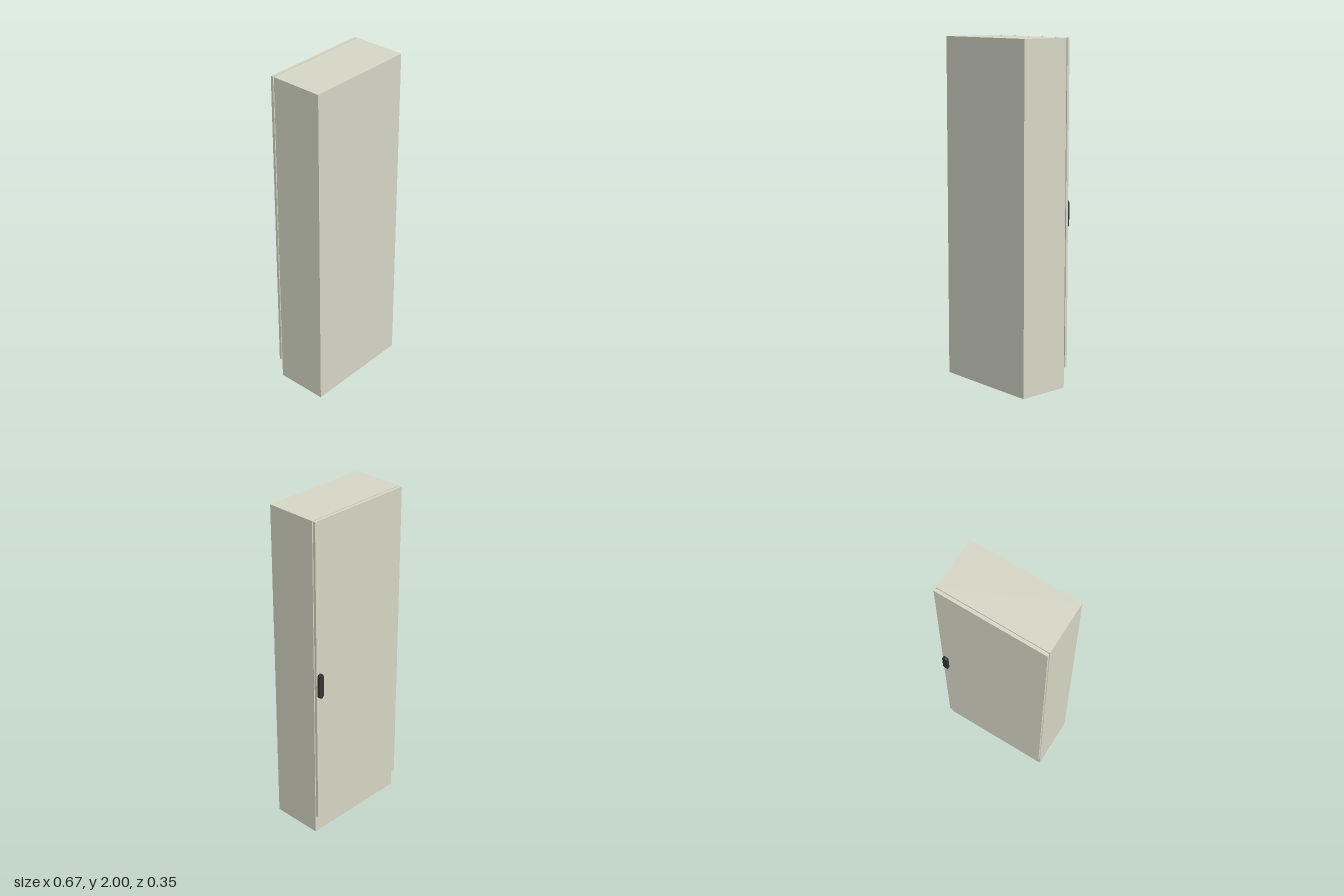
import * as THREE from 'three';

export function createModel() {
  const cabinet = new THREE.Group();
  cabinet.name = 'cabinet';
  const paint = new THREE.MeshStandardMaterial({ color: 0xd5d6c4 });
  const dark = new THREE.MeshStandardMaterial({ color: 0x333333 });

  // Box given by its lower and upper corners
  function addBox(name, [x0, y0, z0], [x1, y1, z1]) {
    const mesh = new THREE.Mesh(new THREE.BoxGeometry(x1 - x0, y1 - y0, z1 - z0), paint);
    mesh.position.set((x0 + x1) / 2, (y0 + y1) / 2, (z0 + z1) / 2);
    mesh.name = name;
    cabinet.add(mesh);
  }

  // Cabinet shell, recessed door seal and the door on the -z side
  addBox('body', [-0.333, 0, -0.138], [0.333, 2, 0.174]);
  addBox('doorSeal', [-0.323, 0.127, -0.144], [0.323, 1.99, -0.138]);
  addBox('door', [-0.333, 0.117, -0.16], [0.333, 2, -0.144]);

  // Upright handle with rounded ends
  const r = 0.0165, half = 0.0775 - r;
  const outline = new THREE.Shape();
  outline.absarc(0, half, r, 0, Math.PI, false);
  outline.absarc(0, -half, r, Math.PI, Math.PI * 2, false);
  outline.closePath();
  const handle = new THREE.Mesh(
    new THREE.ExtrudeGeometry(outline, { depth: 0.016, bevelEnabled: false, curveSegments: 16 }), dark);
  handle.position.set(0.3105, 1.0145, -0.176);
  handle.name = 'handle';
  cabinet.add(handle);

  return cabinet;
}
